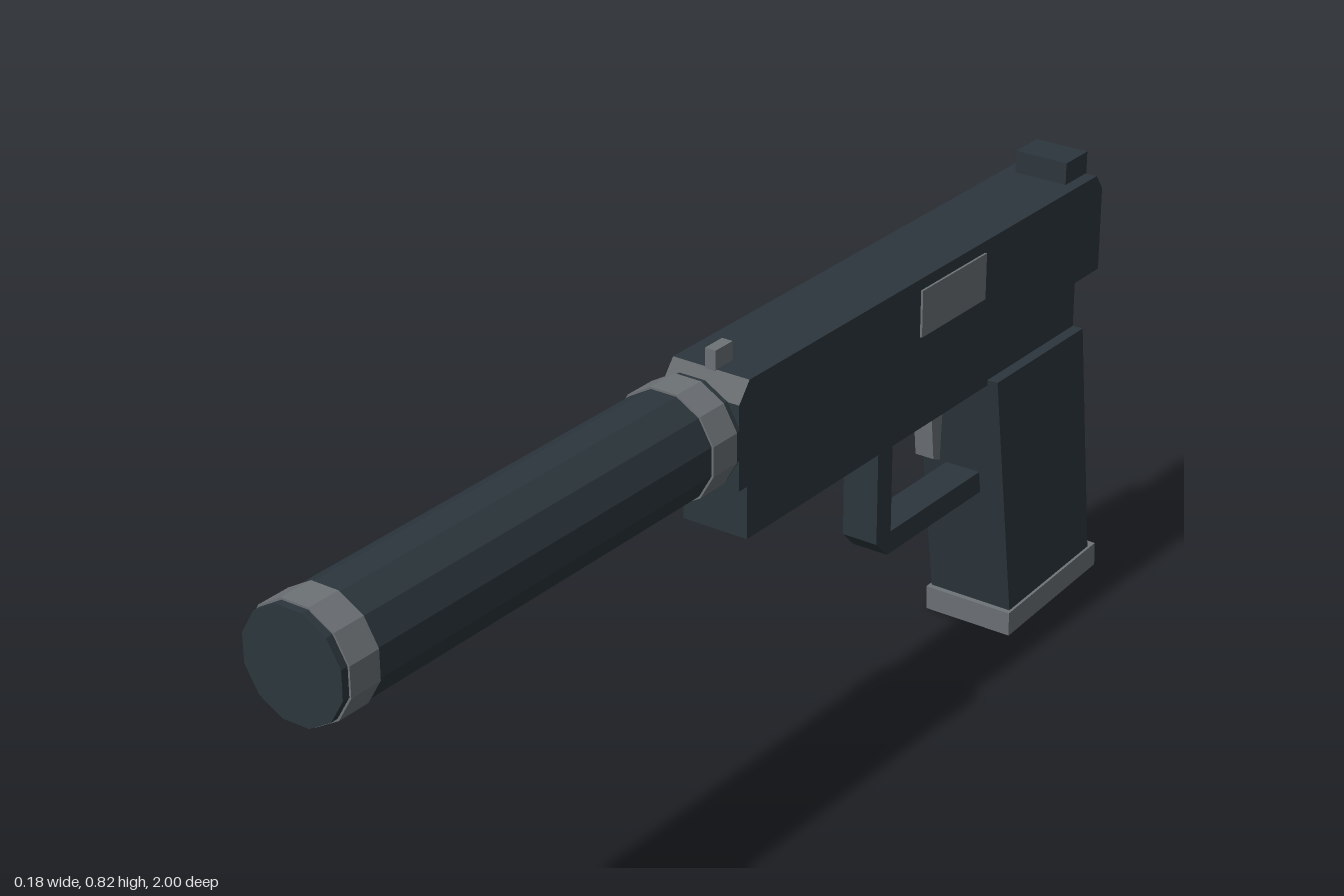
import * as THREE from 'three';

const darkMetal = new THREE.MeshStandardMaterial({ color: 0x2c363c, flatShading: true, name: 'darkMetal' });
const greyMetal = new THREE.MeshStandardMaterial({ color: 0x6d7276, flatShading: true, name: 'greyMetal' });

const BORE_Y = 0.693;

export function createModel() {
  const model = new THREE.Group();

  const add = (name, geometry, material) => {
    const mesh = new THREE.Mesh(geometry, material);
    mesh.name = name;
    model.add(mesh);
    return mesh;
  };

  // Side profile of [z, y] points, extruded across x and centred
  const profile = (name, points, width, material) => {
    const shape = new THREE.Shape(points.map(([z, y]) => new THREE.Vector2(z, y)));
    const geometry = new THREE.ExtrudeGeometry(shape, { depth: width, bevelEnabled: false });
    geometry.rotateY(-Math.PI / 2).translate(width / 2, 0, 0);
    return add(name, geometry, material);
  };

  // Box given by its limits on each axis
  const box = (name, [x0, x1], [y0, y1], [z0, z1], material) => {
    const geometry = new THREE.BoxGeometry(x1 - x0, y1 - y0, z1 - z0);
    geometry.translate((x0 + x1) / 2, (y0 + y1) / 2, (z0 + z1) / 2);
    return add(name, geometry, material);
  };

  // Twelve-sided cylinder along the bore, with flats facing up and sideways
  const tube = (name, radius, z0, z1, material) => {
    const geometry = new THREE.CylinderGeometry(radius, radius, z1 - z0, 12, 1, false, Math.PI / 12);
    geometry.rotateX(Math.PI / 2).translate(0, BORE_Y, (z0 + z1) / 2);
    return add(name, geometry, material);
  };

  // Slide with chamfered top corners, and its fittings
  profile('slide', [
    [0.077, 0.6], [0.077, 0.745], [0.05, 0.778], [-0.963, 0.778], [-0.983, 0.75], [-0.983, 0.6],
  ], 0.144, darkMetal);
  box('ejectionPort', [0.07, 0.076], [0.676, 0.758], [-0.61, -0.42], greyMetal);
  box('frontSight', [-0.01, 0.01], [0.77, 0.81], [0.008, 0.052], greyMetal);
  box('rearSight', [-0.05, 0.05], [0.77, 0.817], [-0.965, -0.897], darkMetal);

  // Frame and grip
  box('frame', [-0.061, 0.061], [0.5, 0.605], [-0.925, 0.041], darkMetal);
  profile('grip', [
    [-0.65, 0.51], [-0.925, 0.51], [-0.982, 0.05], [-0.72, 0.035],
  ], 0.162, darkMetal);
  profile('gripBase', [
    [-0.709, 0.045], [-0.998, 0.062], [-1.0, 0.018], [-0.711, 0],
  ], 0.172, greyMetal);

  // Trigger and guard
  profile('triggerGuard', [
    [-0.364, 0.505], [-0.364, 0.31], [-0.396, 0.278], [-0.7, 0.278],
    [-0.7, 0.318], [-0.406, 0.318], [-0.406, 0.505],
  ], 0.067, darkMetal);
  profile('trigger', [
    [-0.545, 0.505], [-0.55, 0.44], [-0.556, 0.387], [-0.576, 0.378], [-0.578, 0.43], [-0.583, 0.505],
  ], 0.036, greyMetal);

  // Barrel and muzzle tube with end bands
  tube('barrel', 0.031, 0.04, 0.11, greyMetal);
  tube('muzzleTube', 0.092, 0.098, 1.0, darkMetal);
  tube('rearBand', 0.0955, 0.11, 0.17, greyMetal);
  tube('frontBand', 0.0955, 0.927, 0.987, greyMetal);

  return model;
}
